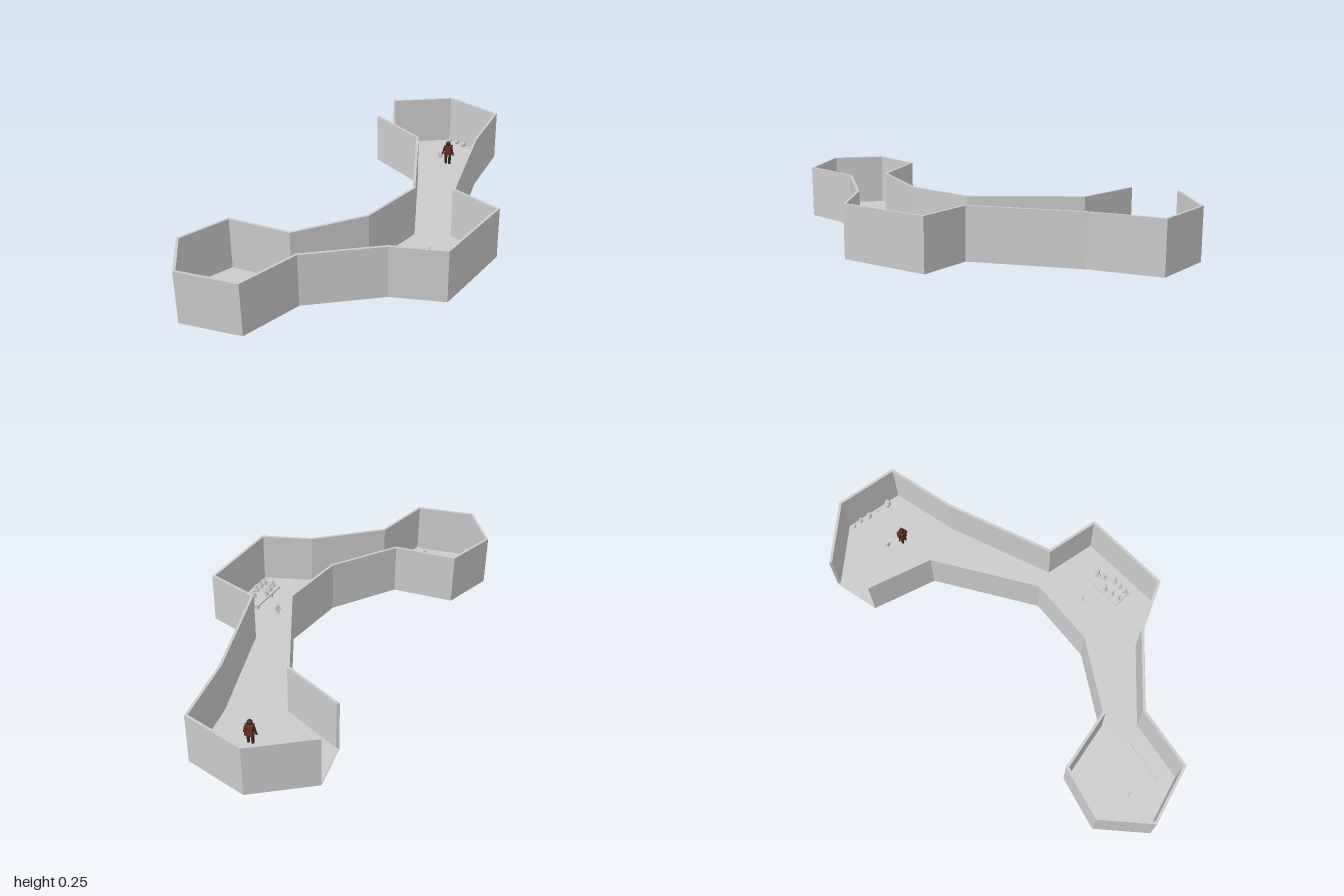
import * as THREE from 'three';

const grey = new THREE.MeshStandardMaterial({ color: 0xcccccc, flatShading: true });
const brown = new THREE.MeshStandardMaterial({ color: 0x6b2a1c, flatShading: true });
const dark = new THREE.MeshStandardMaterial({ color: 0x33241f, flatShading: true });

// Floor outline as (x, z), starting and ending at the open doorway
const outline = [
  [-0.28, -0.85], [-0.01, -1.0], [0.27, -0.9], [0.27, -0.57], [0.34, -0.06], [0.573, 0.03],
  [0.49, 0.44], [0.25, 0.5], [-0.06, 0.7], [-0.17, 0.97], [-0.45, 0.995], [-0.575, 0.775],
  [-0.46, 0.55], [-0.17, 0.55], [0.07, 0.3], [0.16, 0], [-0.01, -0.48], [-0.28, -0.63],
].map(([x, z]) => new THREE.Vector2(x, -z));

const FLOOR = 0.009;

function add(parent, name, geometry, material, x = 0, y = 0, z = 0) {
  const mesh = new THREE.Mesh(geometry, material);
  mesh.name = name;
  mesh.position.set(x, y, z);
  parent.add(mesh);
  return mesh;
}

function group(parent, name, x, z, turn = 0, y = FLOOR) {
  const g = new THREE.Group();
  g.name = name;
  g.position.set(x, y, z);
  g.rotation.y = turn;
  parent.add(g);
  return g;
}

// Extrudes a plan shape upwards from y = base
function slab(points, base, height) {
  return new THREE.ExtrudeGeometry(new THREE.Shape(points), { depth: height, bevelEnabled: false })
    .rotateX(-Math.PI / 2).translate(0, base, 0);
}

// Outline moved inwards with mitred corners
function inset(points, t) {
  const n = points.length;
  const normal = (a, b) => new THREE.Vector2(b.y - a.y, a.x - b.x).normalize();
  return points.map((p, i) => {
    const n1 = normal(points[(i + n - 1) % n], p);
    const n2 = normal(p, points[(i + 1) % n]);
    const k = t / (1 + n1.dot(n2));
    return p.clone().addScaledVector(n1.add(n2), k);
  });
}

// Simple standing figure of height h
function figure(parent, name, x, z, h, body, skin, turn = 0, y = FLOOR) {
  const g = group(parent, name, x, z, turn, y);
  for (const s of [-1, 1]) {
    add(g, 'leg', new THREE.CylinderGeometry(0.06 * h, 0.05 * h, 0.45 * h, 6), skin, s * 0.08 * h, 0.225 * h, 0);
    const arm = add(g, 'arm', new THREE.CylinderGeometry(0.04 * h, 0.035 * h, 0.38 * h, 6), skin, s * 0.18 * h, 0.6 * h, 0);
    arm.rotation.z = s * 0.25;
  }
  add(g, 'torso', new THREE.BoxGeometry(0.26 * h, 0.38 * h, 0.18 * h), body, 0, 0.62 * h, 0);
  add(g, 'head', new THREE.SphereGeometry(0.1 * h, 8, 6), skin, 0, 0.9 * h, 0);
  return g;
}

export function createModel() {
  const model = new THREE.Group();
  model.name = 'walledRooms';

  // Floor and the wall that follows it, open at the doorway
  add(model, 'floor', slab(outline, 0.004, FLOOR - 0.004), grey);
  const wall = [...outline, ...inset(outline, 0.012).reverse()];
  add(model, 'wall', slab(wall, 0.005, 0.245), grey);

  // Table in the middle room with small pieces on it
  const table = group(model, 'table', 0.419, 0.226, -0.2);
  add(table, 'tableTop', new THREE.BoxGeometry(0.1, 0.008, 0.195), grey, 0, 0.045, 0);
  for (const s of [-1, 1])
    add(table, 'trestle', new THREE.BoxGeometry(0.06, 0.041, 0.012), grey, 0, 0.0205, s * 0.06);
  const pieces = [[0, -0.075, 1.3], [0.01, -0.04, 1.1], [-0.03, 0.005, 1], [0.028, 0.01, 1],
    [-0.026, 0.045, 1], [0.026, 0.045, 1], [-0.02, 0.08, 1], [0.026, 0.08, 1]];
  for (const [x, z, s] of pieces) {
    const piece = group(table, 'tablePiece', x, z, 0, 0.049);
    add(piece, 'base', new THREE.CylinderGeometry(0.013 * s, 0.014 * s, 0.006, 8), grey, 0, 0.003, 0);
    add(piece, 'body', new THREE.CylinderGeometry(0.006 * s, 0.01 * s, 0.02 * s, 6), grey, 0, 0.006 + 0.01 * s, 0);
    add(piece, 'arms', new THREE.BoxGeometry(0.03 * s, 0.005, 0.006), grey, 0, 0.004 + 0.016 * s, 0);
    add(piece, 'head', new THREE.SphereGeometry(0.006 * s, 6, 5), grey, 0, 0.008 + 0.024 * s, 0);
  }

  // Low bench in the front room
  const bench = group(model, 'bench', -0.18, 0.815, -0.37);
  add(bench, 'benchTop', new THREE.BoxGeometry(0.054, 0.008, 0.193), grey, 0, 0.034, 0);
  for (const s of [-1, 1])
    add(bench, 'benchLeg', new THREE.BoxGeometry(0.046, 0.03, 0.01), grey, 0, 0.015, s * 0.08);

  // Row of urns along the back wall
  for (const [x, z, r] of [[0.002, -0.965, 0.009], [0.042, -0.955, 0.011], [0.085, -0.937, 0.013],
    [0.132, -0.92, 0.005], [0.185, -0.9, 0.016]]) {
    const profile = [[0, 0], [0.7, 0], [1, 0.9], [0.9, 1.7], [0.5, 2.2], [0.65, 2.6], [0.4, 2.6], [0, 2.3]]
      .map(([a, b]) => new THREE.Vector2(a * r, b * r));
    add(model, 'urn', new THREE.LatheGeometry(profile, 10), grey, x, FLOOR, z);
  }

  // Figures and the small block beside the tall one
  const tall = figure(model, 'tallFigure', 0.075, -0.72, 0.125, brown, dark);
  add(tall, 'cape', new THREE.BoxGeometry(0.036, 0.05, 0.02), brown, 0, 0.075, -0.01);
  add(model, 'block', new THREE.BoxGeometry(0.018, 0.03, 0.018), grey, 0.015, FLOOR + 0.015, -0.775);
  figure(model, 'middleFigure', 0.302, 0.16, 0.06, grey, grey, 0.5);
  figure(model, 'frontFigure', -0.36, 0.83, 0.05, grey, grey, 0.2);
  add(model, 'figureStand', new THREE.CylinderGeometry(0.018, 0.018, 0.005, 12), grey, -0.36, 0.0025, 0.83);

  // Leaning bits in the front corner
  const corner = group(model, 'cornerPile', -0.447, 0.95, 0.6);
  add(corner, 'plank', new THREE.BoxGeometry(0.01, 0.04, 0.06), grey, 0, 0.02, 0);
  add(corner, 'pot', new THREE.CylinderGeometry(0.008, 0.007, 0.02, 8), grey, 0.006, 0.01, 0.015);

  return model;
}
